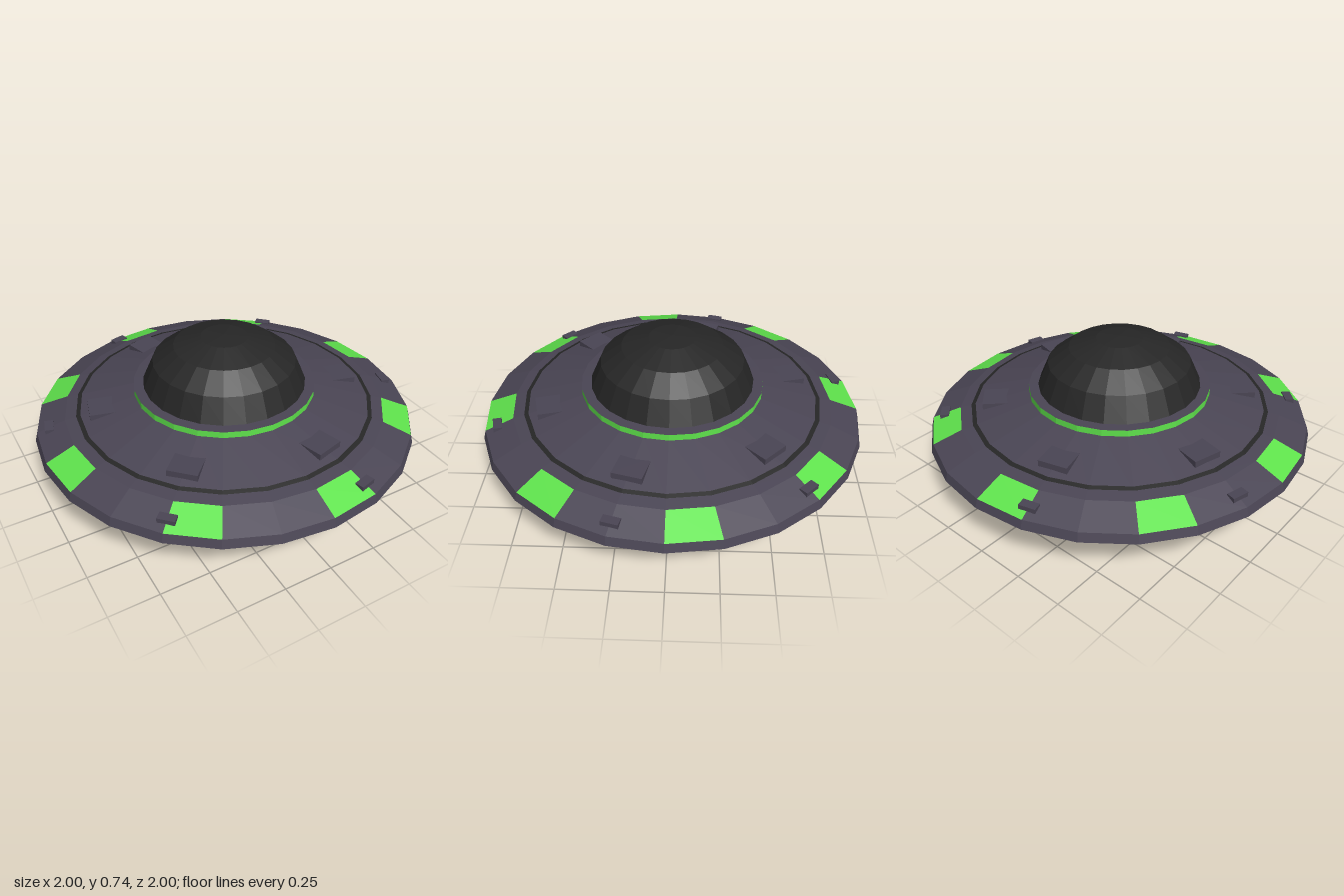
import * as THREE from 'three';

const mat = (name, color) => new THREE.MeshStandardMaterial({ name, color, flatShading: true, side: THREE.DoubleSide });

export function createModel() {
  const group = new THREE.Group();
  group.name = 'flyingSaucer';
  const hull = mat('hull grey violet', 0x4a4554);
  const green = mat('glow green', 0x5fe34c);
  const black = mat('dome black', 0x262626);
  const DEG = Math.PI / 180;

  const add = (name, geometry, material, parent = group) => {
    const mesh = new THREE.Mesh(geometry, material);
    mesh.name = name;
    parent.add(mesh);
    return mesh;
  };
  // Revolved strip of [radius, height] points, listed bottom to top on the outside; 15 degrees per side
  const band = (name, points, material, start = 0, sweep = 360) =>
    add(name, new THREE.LatheGeometry(points.map(p => new THREE.Vector2(...p)),
      sweep / 15, start * DEG, sweep * DEG), material);

  // Underside
  band('bottomLight', [[0, 0], [0.16, 0], [0.195, 0.025]], green);
  band('lowerHull', [[0.195, 0.025], [0.27, 0.07], [0.65, 0.13]], hull);

  // Rim and upper deck
  band('rim', [[0.87, 0.21], [1, 0.26], [0.987, 0.305]], hull);
  band('upperDeck', [[0.84, 0.36], [0.78, 0.37], [0.47, 0.45]], hull);
  band('deckSeam', [[0.782, 0.373], [0.76, 0.379]], black);

  // Eight open vents below and eight lit panels above the rim
  for (let a = 0; a < 360; a += 45) {
    band('lowerPanel', [[0.65, 0.13], [0.87, 0.21]], green, a, 30);
    band('rimLight', [[0.987, 0.305], [0.84, 0.36]], green, a, 15);
    band('rimTop', [[0.987, 0.305], [0.84, 0.36]], hull, a + 15, 30);
  }

  // Collar and dome
  band('collar', [[0.46, 0.45], [0.475, 0.45], [0.475, 0.483]], green);
  band('collarLip', [[0.475, 0.483], [0.41, 0.485]], hull);
  band('dome', [[0.425, 0.485], [0.37, 0.61], [0.26, 0.69], [0.12, 0.735], [0, 0.744]], black);

  // Six sets of deck box, rim clip and underside strut
  for (let a = 15; a < 360; a += 60) {
    const spoke = new THREE.Group();
    spoke.name = 'spoke';
    spoke.rotation.y = a * DEG;
    group.add(spoke);
    add('deckBox', new THREE.BoxGeometry(0.15, 0.045, 0.15), hull, spoke).position.set(0, 0.395, 0.64);
    add('rimClip', new THREE.BoxGeometry(0.085, 0.03, 0.045), hull, spoke).position.set(0, 0.328, 0.922);
    const strut = add('strut', new THREE.CapsuleGeometry(0.017, 0.27, 2, 8), hull, spoke);
    strut.rotation.x = Math.PI / 2;
    strut.position.set(0, 0.078, 0.385);
  }
  return group;
}
